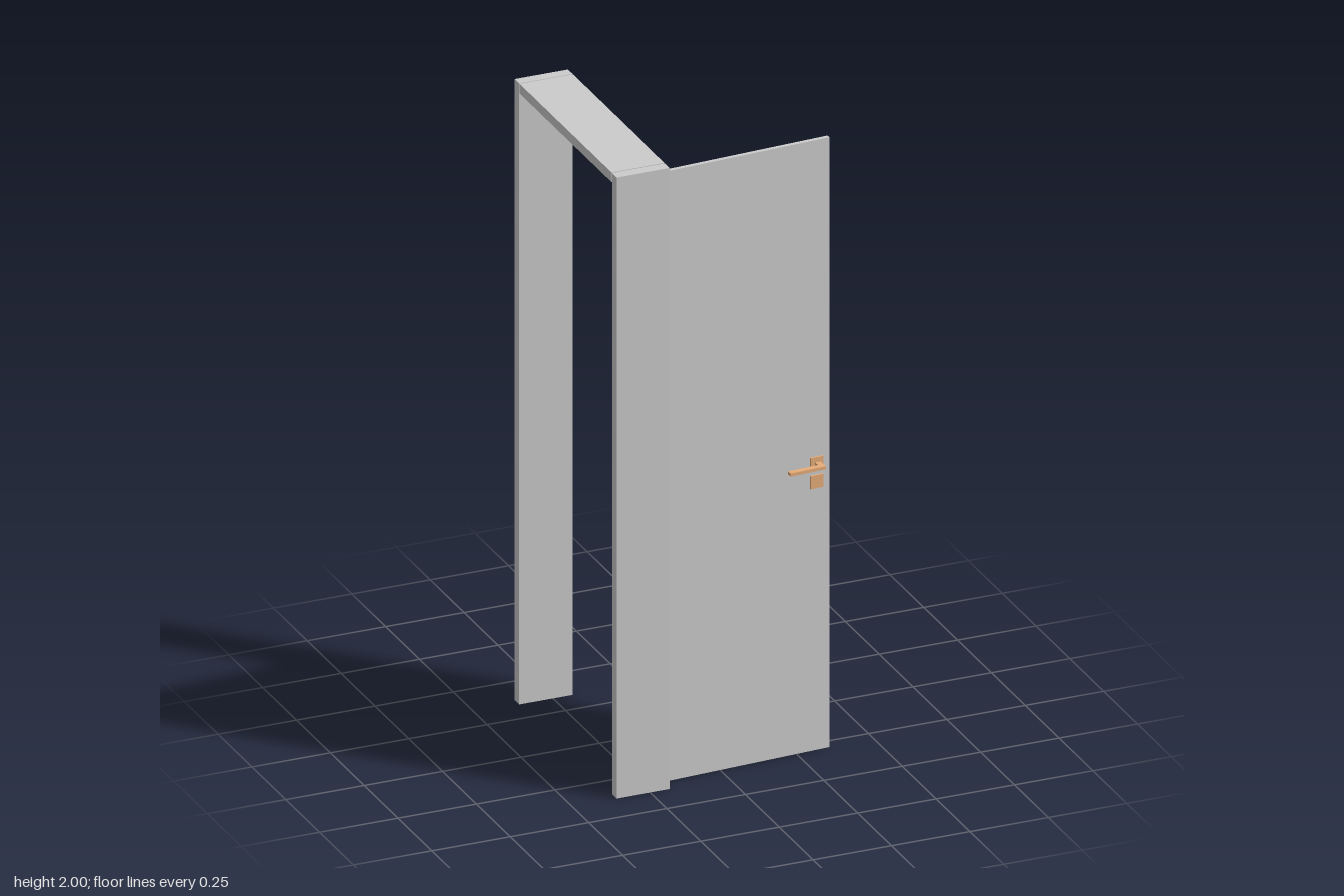
import * as THREE from 'three';

const grey = new THREE.MeshStandardMaterial({ color: 0xcccccc });
const brass = new THREE.MeshStandardMaterial({ color: 0xe6ac78 });

// Box given by its limits on each axis
function box(name, material, [x0, x1], [y0, y1], [z0, z1]) {
  const mesh = new THREE.Mesh(new THREE.BoxGeometry(x1 - x0, y1 - y0, z1 - z0), material);
  mesh.position.set((x0 + x1) / 2, (y0 + y1) / 2, (z0 + z1) / 2);
  mesh.name = name;
  return mesh;
}

// Lever handle with its two square plates, on the +z face of the leaf
function createHandle() {
  const handle = new THREE.Group();
  handle.add(
    box('rosette', brass, [0.618, 0.66], [0.905, 0.947], [0.0068, 0.012]),
    box('keyPlate', brass, [0.618, 0.66], [0.847, 0.889], [0.0068, 0.012]),
    box('shank', brass, [0.632, 0.649], [0.921, 0.931], [0.0068, 0.033]),
    box('lever', brass, [0.533, 0.649], [0.921, 0.931], [0.032, 0.05])
  );
  return handle;
}

export function createModel() {
  const model = new THREE.Group();
  model.name = 'openDoor';

  // Frame: two jambs and a header with a hairline joint at each end
  const depth = [-0.358, -0.188];
  const frame = new THREE.Group();
  frame.name = 'frame';
  frame.add(
    box('hingeJamb', grey, depth, [0, 2], [0.342, 0.377]),
    box('latchJamb', grey, depth, [0, 2], [-0.377, -0.343]),
    box('header', grey, depth, [1.969, 2], [-0.34, 0.338])
  );
  model.add(frame);

  // Door leaf, swung open about its hinge edge
  const door = new THREE.Group();
  door.name = 'door';
  door.position.set(-0.325, 0, 0.33);
  door.rotation.y = 0.0606;
  door.add(box('leaf', grey, [0, 0.682], [0.002, 1.966], [-0.0068, 0.0068]));

  // Matching handles on both faces
  for (const side of [1, -1]) {
    const handle = createHandle();
    handle.name = side > 0 ? 'frontHandle' : 'backHandle';
    if (side < 0) for (const part of handle.children) part.position.z *= -1;
    door.add(handle);
  }
  model.add(door);
  return model;
}
